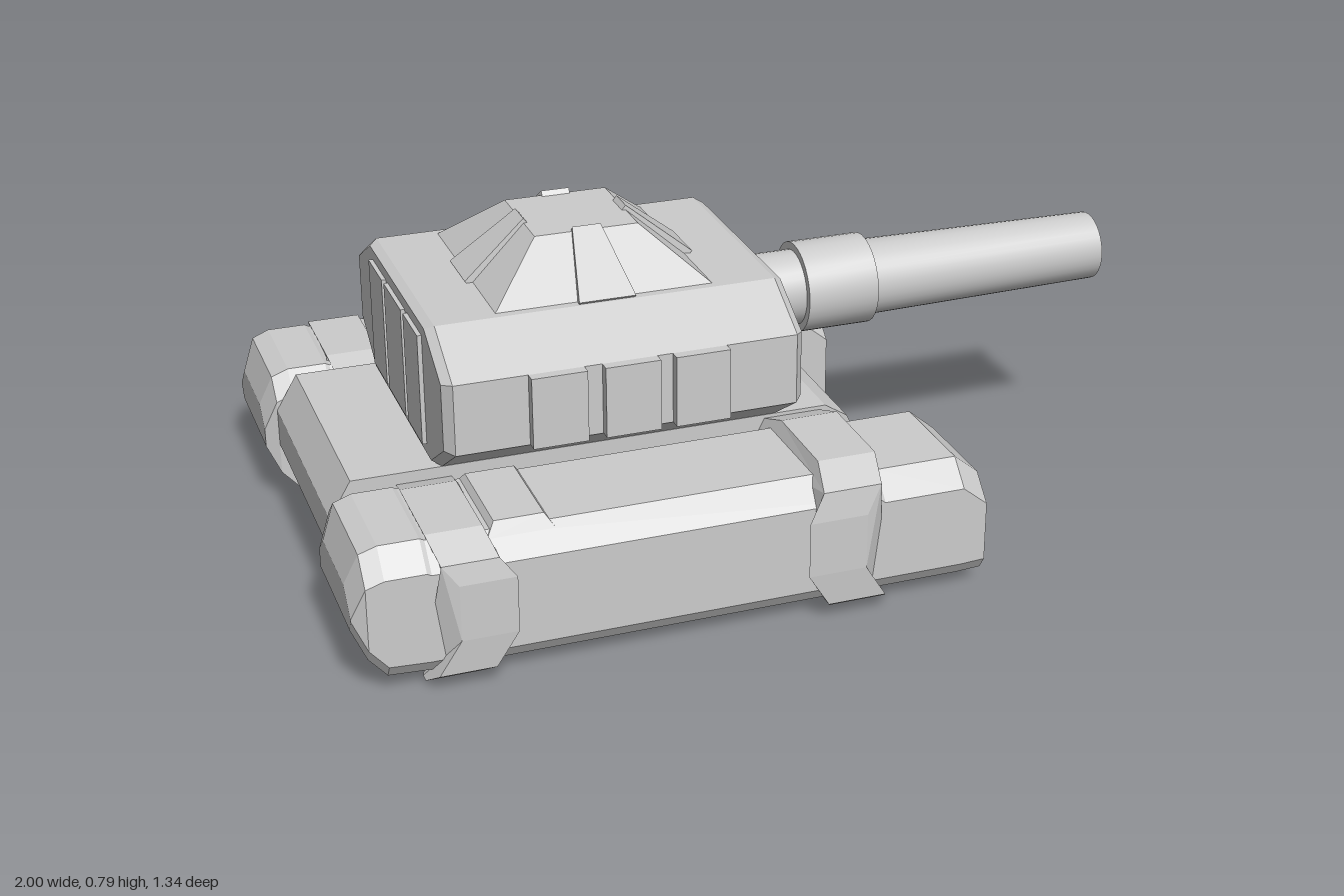
import * as THREE from 'three';
import { toCreasedNormals } from 'three/addons/utils/BufferGeometryUtils.js';

const V = (x, y, z) => new THREE.Vector3(x, y, z);
const mat = new THREE.MeshStandardMaterial({ color: 0xcccccc, flatShading: true });
const smoothMat = new THREE.MeshStandardMaterial({ color: 0xcccccc });

// Skin a list of matching rings, closing both ends; axis is the loft direction.
function loft(rings, axis = 'x') {
  const tris = [];
  const n = rings[0].length;
  for (let r = 0; r < rings.length - 1; r++) {
    const a = rings[r], b = rings[r + 1];
    for (let i = 0; i < n; i++) {
      const j = (i + 1) % n;
      tris.push([a[i], a[j], b[i]], [a[j], b[j], b[i]]);
    }
  }
  const [u, v] = ['x', 'y', 'z'].filter((k) => k !== axis);
  const cap = (ring, reverse) => {
    const flat = ring.map((p) => new THREE.Vector2(p[u], p[v]));
    const sign = Math.sign(THREE.ShapeUtils.area(flat));
    for (const f of THREE.ShapeUtils.triangulateShape(flat, [])) {
      const same = Math.sign(THREE.ShapeUtils.area(f.map((i) => flat[i]))) === sign;
      const t = f.map((i) => ring[i]);
      tris.push(same !== reverse ? t : t.reverse());
    }
  };
  cap(rings[0], true);
  cap(rings[rings.length - 1], false);
  // Turn the shell outward if its signed volume is negative.
  const volume = tris.reduce((s, [a, b, c]) => s + a.dot(b.clone().cross(c)), 0);
  if (volume < 0) tris.forEach((t) => t.reverse());
  const g = new THREE.BufferGeometry().setFromPoints(tris.flat());
  g.computeVertexNormals();
  return g;
}

function add(parent, name, geometry, material = mat) {
  const m = new THREE.Mesh(geometry, material);
  m.name = name;
  parent.add(m);
  return m;
}

function box(parent, name, x0, x1, y0, y1, z0, z1) {
  add(parent, name, new THREE.BoxGeometry(x1 - x0, y1 - y0, z1 - z0))
    .position.set((x0 + x1) / 2, (y0 + y1) / 2, (z0 + z1) / 2);
}

// Inverted-U section of a track housing, as [z, y] pairs.
const podSection = (top, bottom, cavity, out, inn) => [
  [out - 0.02, bottom], [out, bottom + 0.03], [out, top - 0.055], [out - 0.055, top],
  [inn + 0.05, top], [inn, top - 0.045], [inn, bottom],
  [0.34, bottom], [0.34, cavity], [0.595, cavity], [0.595, bottom],
];

function buildPod(side) {
  const pod = new THREE.Group();
  pod.name = side > 0 ? 'leftTrackPod' : 'rightTrackPod';

  // Housing: x, top, bottom, cavity roof, outer z, inner z
  const stations = [
    [-1, 0.24, 0.15, 0.151, 0.615, 0.31], [-0.97, 0.315, 0.085, 0.086, 0.637, 0.29],
    [-0.93, 0.33, 0.04, 0.041, 0.64, 0.29], [-0.84, 0.33, 0.035, 0.036, 0.64, 0.29],
    [-0.83, 0.325, 0.035, 0.14, 0.64, 0.29], [0.17, 0.325, 0.035, 0.14, 0.64, 0.29],
    [0.19, 0.31, 0.035, 0.14, 0.64, 0.29], [0.38, 0.31, 0.035, 0.14, 0.64, 0.29],
    [0.44, 0.26, 0.035, 0.14, 0.635, 0.295],
  ];
  add(pod, 'trackHousing', loft(stations.map(([x, ...s]) =>
    podSection(...s).map(([z, y]) => V(x, y, side * z)))));

  // Chevron armour bands: z, y and sweep toward the pod end
  const band = (x, dir, width, top) => {
    const section = [
      [0.62, 0.01, 0.07], [0.665, 0.04, 0.05], [0.67, 0.12, 0], [0.67, 0.25, 0],
      [0.66, top - 0.04, 0.035], [0.585, top, 0.05], [0.37, top, 0.05], [0.288, top - 0.03, 0.04],
      [0.285, 0.25, 0], [0.285, 0.12, 0], [0.315, 0.01, 0.07],
      [0.338, 0.01, 0.07], [0.338, 0.135, 0], [0.597, 0.135, 0], [0.597, 0.01, 0.07],
    ];
    add(pod, 'armourBand', loft([0, width].map((w) =>
      section.map(([z, y, sweep]) => V(x + dir * (w + sweep), y, side * z)))));
  };
  band(0, 1, 0.135, 0.355);
  band(-0.655, -1, 0.125, 0.337);

  // Raised plate on the deck of the pod
  const plate = (y, i) => [[-0.7 + i, 0.33 + i], [-0.55 - i, 0.33 + i], [-0.55 - i, 0.6 - i], [-0.7 + i, 0.6 - i]]
    .map(([x, z]) => V(x, y, side * z));
  add(pod, 'deckPlate', loft([plate(0.31, 0), plate(0.34, 0.02)], 'y'));
  return pod;
}

function buildTurret() {
  const turret = new THREE.Group();
  turret.name = 'turret';
  const cz = 0.01;

  // Octagonal body with bevelled ends
  const oct = [[0.27, 0.665], [0.41, 0.585], [0.41, 0.42], [0.28, 0.335],
    [-0.28, 0.335], [-0.41, 0.42], [-0.41, 0.585], [-0.27, 0.665]];
  const ends = [[-0.735, 0.94], [-0.715, 1], [0.065, 1], [0.085, 0.94]];
  add(turret, 'turretBody', loft(ends.map(([x, s]) =>
    oct.map(([z, y]) => V(x, 0.5 + (y - 0.5) * s, cz + z * s)))));

  // Applique panels on the sides and on both ends
  for (const x of [-0.55, -0.385, -0.225])
    for (const s of [-1, 1])
      box(turret, 'sidePanel', x, x + 0.125, 0.42, 0.585, cz + s * 0.42 - 0.015, cz + s * 0.42 + 0.015);
  for (const [z0, z1] of [[-0.22, -0.09], [-0.07, 0.09], [0.11, 0.24]]) {
    box(turret, 'frontPanel', 0.07, 0.095, 0.37, 0.63, z0, z1);
    box(turret, 'rearPanel', -0.745, -0.72, 0.37, 0.63, z0, z1);
  }

  // Cupola: a frustum with a flared rib on each slope
  const cupola = new THREE.Group();
  cupola.name = 'cupola';
  cupola.position.set(-0.325, 0, cz);
  turret.add(cupola);
  const square = (h, y) => [[-h, -h], [h, -h], [h, h], [-h, h]].map(([x, z]) => V(x, y, z));
  add(cupola, 'cupolaBody', loft([square(0.255, 0.66), square(0.12, 0.778)], 'y'));
  const ribEnd = (x, y, w) => [V(x - 0.02, y - 0.025, -w), V(x - 0.02, y - 0.025, w), V(x, y, w), V(x, y, -w)];
  for (let i = 0; i < 4; i++)
    add(cupola, 'cupolaRib', loft([ribEnd(0.12, 0.789, 0.033), ribEnd(0.268, 0.67, 0.065)]))
      .rotation.y = i * Math.PI / 2;

  // Gun: root, sleeve, tapering tube and a funnel-shaped bore
  const profile = [[0.09, 0.05], [0.09, 0.22], [0.108, 0.22], [0.108, 0.395], [0.091, 0.395],
    [0.082, 1], [0.067, 1], [0.062, 0.9], [0.015, 0.3], [0, 0.3]];
  const gun = new THREE.LatheGeometry(profile.map(([r, y]) => new THREE.Vector2(r, y)), 32);
  gun.rotateZ(-Math.PI / 2);
  add(turret, 'gunBarrel', toCreasedNormals(gun, 0.5), smoothMat).position.set(0, 0.515, cz);
  return turret;
}

export function createModel() {
  const model = new THREE.Group();
  model.name = 'tank';

  // Hull between the track pods, drawn as a side profile
  const side = [[-0.92, 0.335], [-0.97, 0.25], [-0.97, 0.16], [-0.93, 0.05], [-0.85, 0.015],
    [0.25, 0], [0.27, 0.045], [0.27, 0.245], [0.245, 0.3], [0.19, 0.335]];
  add(model, 'hull', loft([-0.291, 0.291].map((z) => side.map(([x, y]) => V(x, y, z))), 'z'));

  model.add(buildPod(1), buildPod(-1), buildTurret());
  return model;
}
